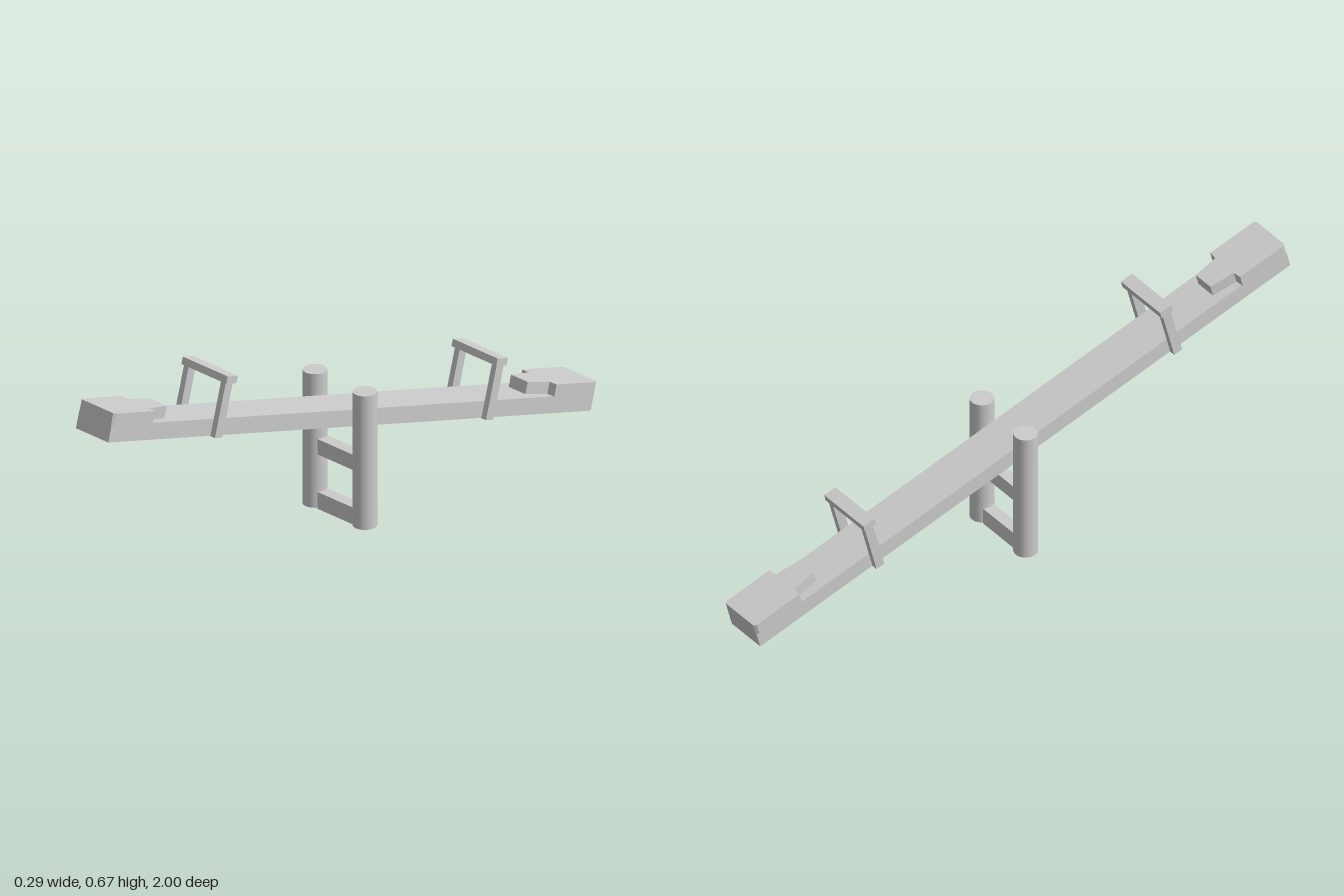
import * as THREE from 'three';

export function createModel() {
  const model = new THREE.Group();
  const mat = new THREE.MeshStandardMaterial({ color: 0xcccccc, flatShading: true });
  const smooth = new THREE.MeshStandardMaterial({ color: 0xcccccc });

  function add(parent, name, geometry, x, y, z, material = mat) {
    const mesh = new THREE.Mesh(geometry, material);
    mesh.name = name;
    mesh.position.set(x, y, z);
    parent.add(mesh);
    return mesh;
  }
  const box = (parent, name, w, h, d, x, y, z) =>
    add(parent, name, new THREE.BoxGeometry(w, h, d), x, y, z);

  // Fixed stand: two round posts, open underneath, joined by two rungs
  const stand = new THREE.Group();
  stand.name = 'stand';
  stand.position.z = -0.013;
  model.add(stand);
  for (const s of [-1, 1]) {
    add(stand, 'post', new THREE.CylinderGeometry(0.037, 0.037, 0.437, 32, 1, true), s * 0.108, 0.2215, 0, smooth);
    add(stand, 'postTop', new THREE.CircleGeometry(0.037, 32).rotateX(-Math.PI / 2), s * 0.108, 0.44, 0);
  }
  for (const y of [0.0275, 0.203]) box(stand, 'rung', 0.15, y < 0.1 ? 0.055 : 0.05, 0.04, 0, y, 0);

  // Tilting beam: origin at the middle of the plank's underside
  const beam = new THREE.Group();
  beam.name = 'beam';
  beam.position.set(0, 0.32, 0.014);
  beam.rotation.x = -0.258;
  model.add(beam);
  box(beam, 'plank', 0.14, 0.053, 2.04, 0, 0.0265, 0);

  // Seat outline: wide outer pad with a narrow tapered nose pointing inwards
  const half = [[0.068, 1.021], [0.074, 1.012], [0.074, 0.848], [0.046, 0.846], [0.036, 0.763]];
  const outline = [...half, ...half.map(([x, z]) => [-x, z]).reverse()];
  const seatShape = new THREE.Shape(outline.map(([x, z]) => new THREE.Vector2(x, -z)));
  const seatGeometry = new THREE.ExtrudeGeometry(seatShape, { depth: 0.039, bevelEnabled: false });
  seatGeometry.rotateX(-Math.PI / 2);

  // Both ends carry a seat and a handle; the far end is turned round
  for (const turn of [0, Math.PI]) {
    const end = new THREE.Group();
    end.name = turn ? 'lowEnd' : 'highEnd';
    end.rotation.y = turn;
    beam.add(end);
    add(end, 'seat', seatGeometry, 0, 0.052, 0);
    for (const s of [-1, 1]) box(end, 'handlePost', 0.02, 0.173, 0.03, s * 0.08, 0.0855, 0.573);
    box(end, 'handleBar', 0.194, 0.023, 0.043, 0, 0.1825, 0.571);
  }
  return model;
}
